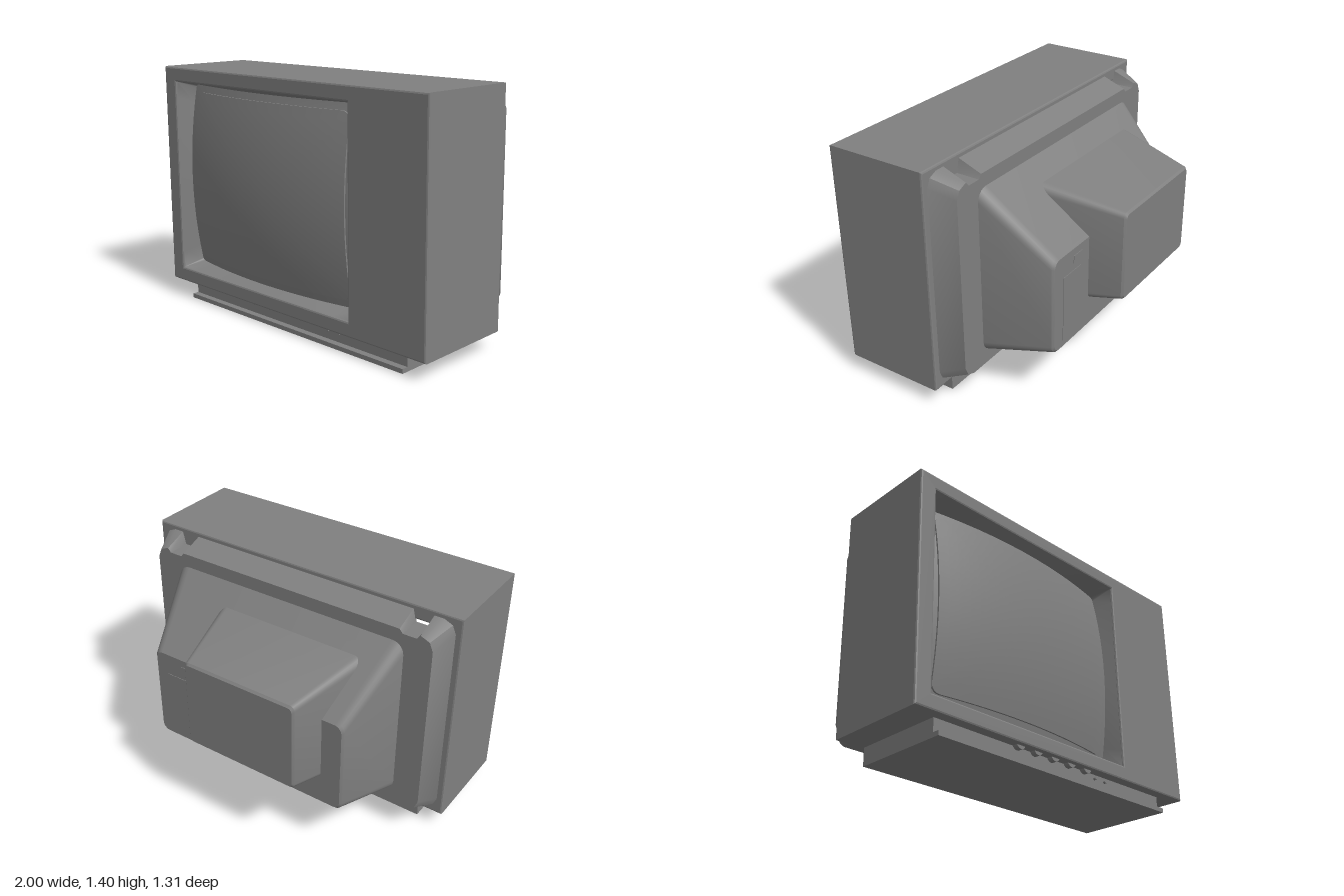
import * as THREE from 'three';
import { toCreasedNormals } from 'three/addons/utils/BufferGeometryUtils.js';

const darkGrey = new THREE.MeshStandardMaterial({ color: 0x808080 });

// Counter-clockwise rounded rectangle, edges subdivided; z is a number or a function of x, y
function ring(x0, x1, y0, y1, r, z, edge = 1) {
  const corners = [[x1 - r, y0 + r], [x1 - r, y1 - r], [x0 + r, y1 - r], [x0 + r, y0 + r]];
  const pts = [];
  corners.forEach(([cx, cy], k) => {
    for (let i = 0; i <= 5; i++) {
      const a = (k - 1 + i / 5) * Math.PI / 2;
      pts.push([cx + r * Math.cos(a), cy + r * Math.sin(a)]);
    }
    const [px, py] = pts[pts.length - 1];
    const [nx, ny] = corners[(k + 1) % 4];
    const a = k * Math.PI / 2;
    const qx = nx + r * Math.cos(a), qy = ny + r * Math.sin(a);
    for (let i = 1; i < edge; i++) {
      pts.push([px + (qx - px) * i / edge, py + (qy - py) * i / edge]);
    }
  });
  return pts.map(([x, y]) => [x, y, typeof z === 'function' ? z(x, y) : z]);
}

// Skin between successive rings
function loft(rings, crease = 0.5) {
  const n = rings[0].length, pos = [], idx = [];
  rings.forEach(r => r.forEach(p => pos.push(...p)));
  for (let i = 0; i < rings.length - 1; i++) {
    for (let j = 0; j < n; j++) {
      const k = (j + 1) % n, a = i * n + j, b = i * n + k, c = a + n, d = b + n;
      idx.push(a, c, b, b, c, d);
    }
  }
  const g = new THREE.BufferGeometry();
  g.setAttribute('position', new THREE.Float32BufferAttribute(pos, 3));
  g.setIndex(idx);
  return toCreasedNormals(g, crease);
}

// Rear housing: tapered skin from a front ring to a bevelled flat cap at z
function housing(x0, x1, y0, y1, radius, z, front) {
  const b = 0.012;
  const last = ring(x0 + b, x1 - b, y0 + b, y1 - b, radius - b / 2, z);
  const cx = (x0 + x1) / 2, cy = (y0 + y1) / 2;
  return loft([front, ring(x0, x1, y0, y1, radius, z + b), last, last.map(() => [cx, cy, z])]);
}

const outlineOf = pts => pts.map(p => new THREE.Vector2(p[0], p[1]));
const rect = (x0, x1, y0, y1) => outlineOf([[x0, y0], [x1, y0], [x1, y1], [x0, y1]]);

export function createModel() {
  const model = new THREE.Group();
  const add = (name, geometry, x = 0, y = 0, z = 0) => {
    const m = new THREE.Mesh(geometry, darkGrey);
    m.name = name;
    m.position.set(x, y, z);
    model.add(m);
  };
  const box = (name, x0, x1, y0, y1, z0, z1) =>
    add(name, new THREE.BoxGeometry(x1 - x0, y1 - y0, z1 - z0), (x0 + x1) / 2, (y0 + y1) / 2, (z0 + z1) / 2);

  // Cabinet shell with the tube opening, edges bevelled
  const shell = new THREE.Shape(rect(-0.99, 0.99, 0.11, 1.39));
  shell.holes.push(new THREE.Path(rect(-0.91, 0.495, 0.175, 1.325).reverse()));
  const cabinet = new THREE.ExtrudeGeometry(shell, {
    depth: 0.585, bevelSize: 0.01, bevelThickness: 0.01, bevelSegments: 2,
  });
  add('cabinet', toCreasedNormals(cabinet, 0.3), 0, 0, 0.06);

  // Bulging screen, curved surround and sloping bezel
  const cx = -0.207, cy = 0.75;
  const bulge = top => (x, y) => top - 0.07 * ((x - cx) / 0.67) ** 2 - 0.06 * ((y - cy) / 0.55) ** 2;
  const glass = bulge(0.657), mask = bulge(0.648);
  const outline = z => ring(-0.82, 0.408, 0.25, 1.252, 0.05, z, 12);
  const inner = ring(-0.875, 0.46, 0.207, 1.292, 0.02, mask, 12);
  const discs = [];
  for (let i = 0; i <= 10; i++) {
    const s = i / 10;
    discs.push(outline(0).map(([x, y]) => {
      const px = cx + (x - cx) * s, py = cy + (y - cy) * s;
      return [px, py, glass(px, py)];
    }));
  }
  add('screen', loft(discs, 1));
  add('screenEdge', loft([outline(glass), outline(mask)]));
  add('screenSurround', loft([outline(mask), inner], 1));
  add('bezel', loft([inner, ring(-0.9, 0.485, 0.185, 1.315, 0.002, 0.643, 12)]));

  // Tapered back plate with two shallow notches in its top edge
  const right = [
    [0.895, 0.13], [0.944, 0.15], [0.965, 0.2], [0.965, 1.305], [0.944, 1.354], [0.895, 1.375],
    [0.835, 1.375], [0.815, 1.297], [0.735, 1.297], [0.715, 1.375],
  ];
  const left = right.map(([x, y]) => [-x, y]).reverse();
  const plate = new THREE.ExtrudeGeometry(new THREE.Shape(outlineOf([...right, ...left])),
    { depth: 0.145, bevelEnabled: false });
  plate.translate(0, 0, -0.087);
  const p = plate.attributes.position;
  for (let i = 0; i < p.count; i++) {
    if (p.getZ(i) > 0) continue;
    const x = p.getX(i), y = p.getY(i);
    if (Math.abs(x) > 0.86) p.setX(i, x - Math.sign(x) * 0.055);
    if (y > 1.3) p.setY(i, y - 0.055);
    if (y < 0.22) p.setY(i, y + 0.05);
  }
  add('backPlate', toCreasedNormals(plate, 0.6));

  // Main rear housing and the offset tube neck cover
  add('rearHousing', housing(-0.64, 0.64, 0.322, 0.9, 0.05, -0.467,
    ring(-0.75, 0.75, 0.255, 1.248, 0.07, -0.08)));
  add('neckCover', housing(-0.462, 0.252, 0.525, 1.055, 0.03, -0.657,
    ring(-0.585, 0.378, 0.447, 1.152, 0.05, -0.15)));

  // Service panels and socket on the rear housing
  box('rearPanel', 0.38, 0.55, 0.37, 0.76, -0.47, -0.46);
  box('rearPanelSmall', -0.33, -0.22, 0.345, 0.475, -0.47, -0.46);
  box('socket', 0.37, 0.45, 0.8, 0.845, -0.47, -0.46);

  // Plinth with a front lip
  box('plinth', -0.84, 0.84, 0, 0.105, 0.072, 0.598);
  box('plinthLip', -0.84, 0.84, 0, 0.025, 0.59, 0.635);

  // Control knobs under the front edge and two small buttons
  for (let i = 0; i < 5; i++) {
    const knob = new THREE.CylinderGeometry(0.032, 0.032, 0.035, 20).rotateX(Math.PI / 2);
    add('knob', toCreasedNormals(knob, 0.6), -0.295 + i * 0.125, 0.113, 0.611);
  }
  for (const x of [0.292, 0.373]) {
    add('button', new THREE.CylinderGeometry(0.008, 0.008, 0.025, 10).rotateX(Math.PI / 2), x, 0.076, 0.6);
  }
  return model;
}
